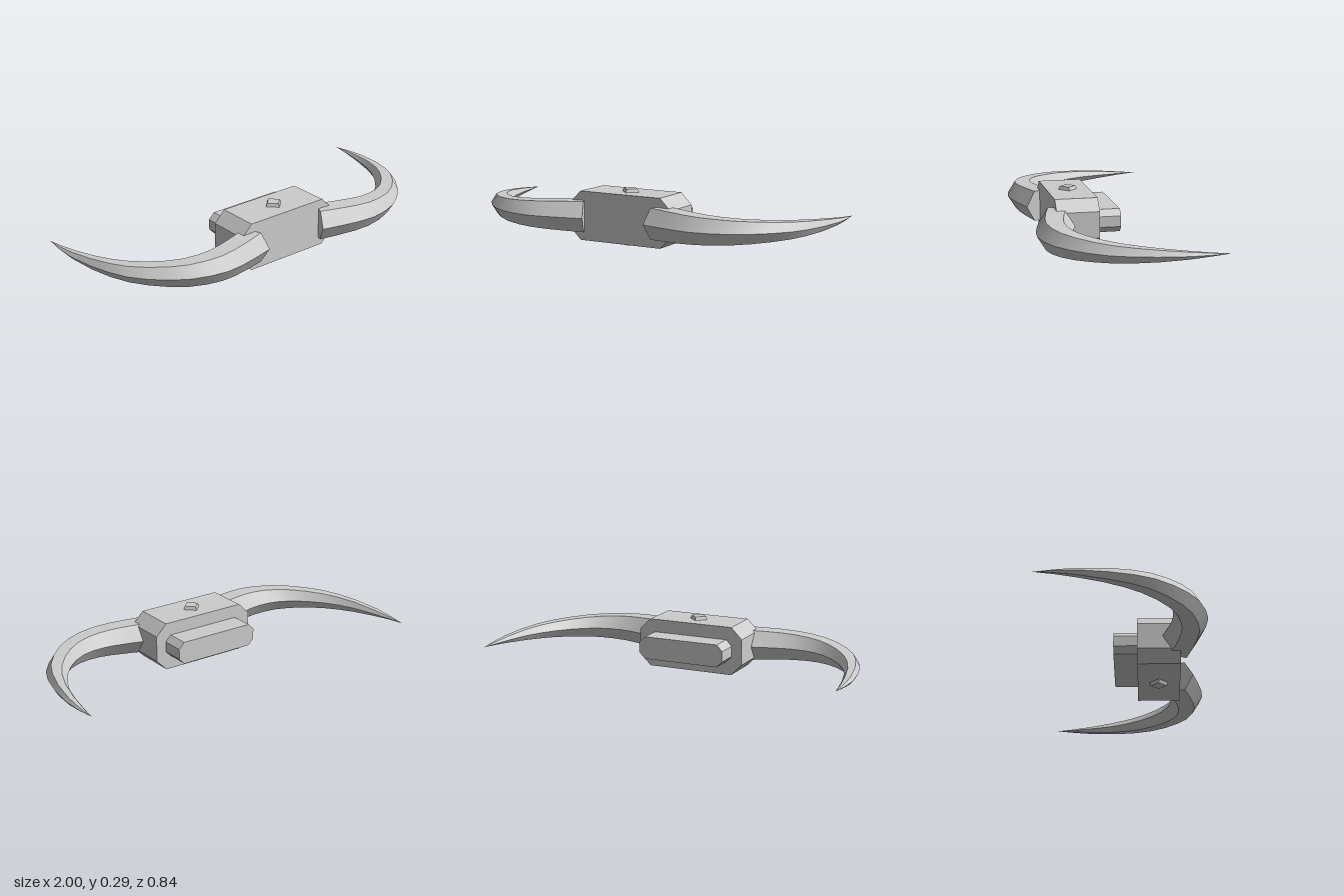
import * as THREE from 'three';
import { toCreasedNormals } from 'three/addons/utils/BufferGeometryUtils.js';

const MID = 0.15; // height of the symmetry plane

// Horn stations from root to tip: outer x, outer z, inner x, inner z, half height
const STATIONS = [
  [0.18, 0.36, 0.26, 0.18, 0.081],
  [0.29, 0.388, 0.37, 0.215, 0.077],
  [0.395, 0.41, 0.45, 0.235, 0.073],
  [0.487, 0.418, 0.51, 0.243, 0.069],
  [0.58, 0.403, 0.575, 0.241, 0.065],
  [0.675, 0.37, 0.64, 0.225, 0.06],
  [0.76, 0.315, 0.705, 0.19, 0.055],
  [0.84, 0.24, 0.77, 0.135, 0.049],
  [0.905, 0.155, 0.83, 0.065, 0.043],
  [0.947, 0.06, 0.877, -0.01, 0.037],
  [0.98, -0.065, 0.917, -0.1, 0.029],
  [1.0, -0.21, 0.947, -0.215, 0.018],
  [0.998, -0.32, 0.968, -0.32, 0.008],
  [0.984, -0.42, 0.984, -0.42, 0],
];

// Hexagonal section: [fraction from outer to inner ridge, height factor]
const SECTION = [[0, 0], [0.25, 1], [0.75, 1], [1, 0], [0.75, -1], [0.25, -1]];

function hornGeometry(side) {
  const n = SECTION.length;
  const positions = [];
  const index = [];
  const tri = (a, b, c) => (side > 0 ? index.push(a, b, c) : index.push(a, c, b));

  for (const [ox, oz, ix, iz, h] of STATIONS) {
    for (const [t, v] of SECTION) {
      positions.push(side * (ox + (ix - ox) * t), MID + h * v, oz + (iz - oz) * t);
    }
  }
  // Sides
  for (let k = 0; k < STATIONS.length - 1; k++) {
    for (let i = 0; i < n; i++) {
      const j = (i + 1) % n;
      const a = k * n + i, b = k * n + j, c = b + n, d = a + n;
      tri(a, c, b);
      if (k < STATIONS.length - 2) tri(a, d, c);
    }
  }
  // Root cap
  for (let i = 1; i < n - 1; i++) tri(0, i, i + 1);

  const geometry = new THREE.BufferGeometry();
  geometry.setAttribute('position', new THREE.Float32BufferAttribute(positions, 3));
  geometry.setIndex(index);
  return toCreasedNormals(geometry, 0.5);
}

// Block with four chamfered edges running along z
function chamferedBlock(halfW, halfH, chamfer, back, front) {
  const w = halfW - chamfer, h = halfH - chamfer;
  const shape = new THREE.Shape([
    [w, -halfH], [halfW, -h], [halfW, h], [w, halfH],
    [-w, halfH], [-halfW, h], [-halfW, -h], [-w, -halfH],
  ].map(([x, y]) => new THREE.Vector2(x, y)));
  const geometry = new THREE.ExtrudeGeometry(shape, { depth: front - back, bevelEnabled: false });
  return geometry.translate(0, MID, back);
}

export function createModel() {
  const model = new THREE.Group();
  model.name = 'hornedClasp';
  const grey = new THREE.MeshStandardMaterial({ color: 0xcccccc });
  grey.name = 'grey';

  const add = (name, geometry) => {
    const mesh = new THREE.Mesh(geometry, grey);
    mesh.name = name;
    model.add(mesh);
    return mesh;
  };

  add('body', chamferedBlock(0.297, 0.129, 0.06, 0.063, 0.285));
  add('backBlock', chamferedBlock(0.24, 0.06, 0.032, -0.06, 0.07));

  // Tapered diamond studs above and below
  for (const s of [1, -1]) {
    const stud = new THREE.CylinderGeometry(0.041, 0.055, 0.03, 4).toNonIndexed();
    stud.computeVertexNormals();
    if (s < 0) stud.rotateX(Math.PI);
    add(s > 0 ? 'topStud' : 'bottomStud', stud).position.set(0, MID + s * 0.132, 0.173);
  }

  add('leftHorn', hornGeometry(1));
  add('rightHorn', hornGeometry(-1));
  return model;
}
